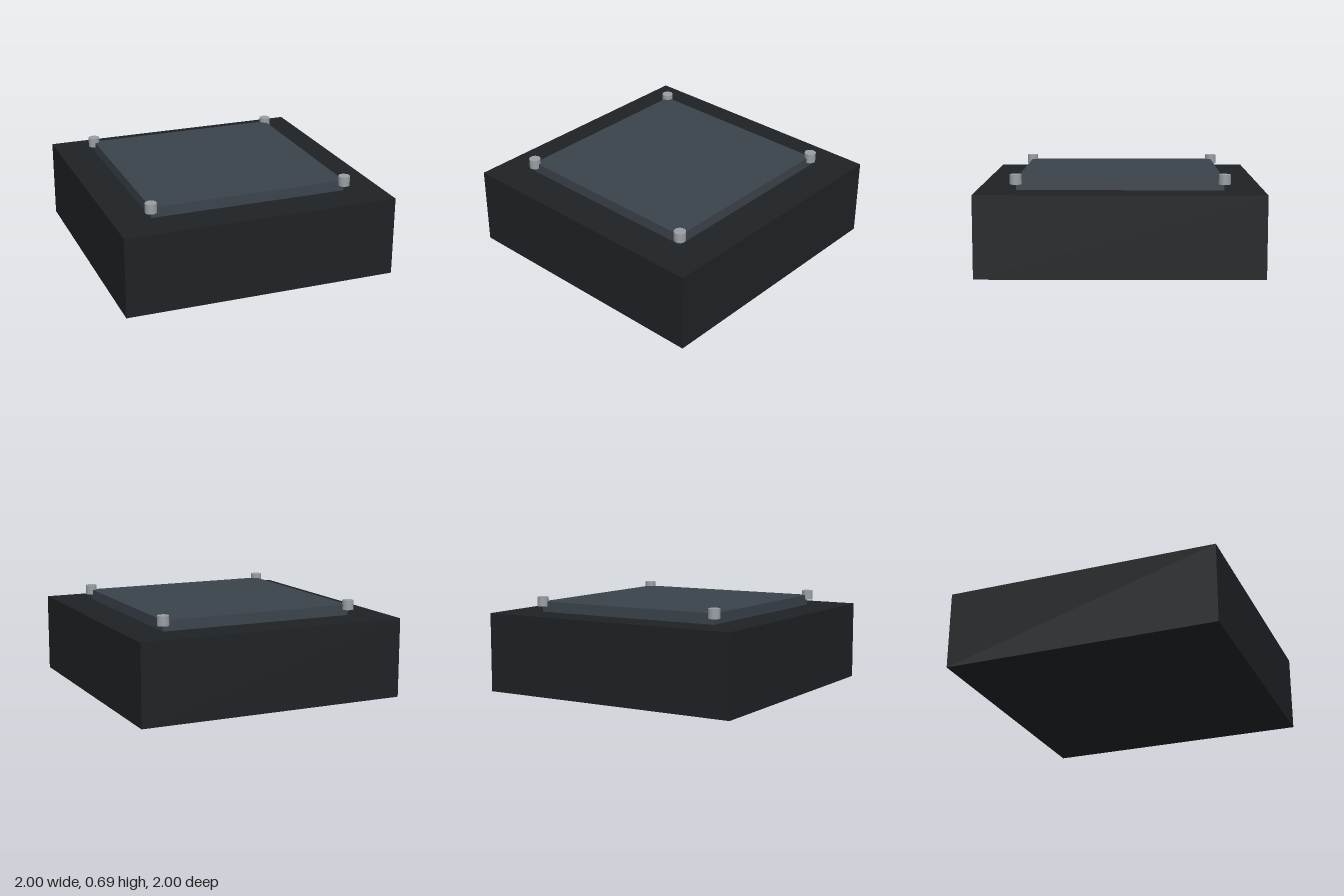
import * as THREE from 'three';

const material = (color) => new THREE.MeshStandardMaterial({ color });

export function createModel() {
  const model = new THREE.Group();
  const add = (name, geometry, mat, x, y, z) => {
    const mesh = new THREE.Mesh(geometry, mat);
    mesh.name = name;
    mesh.position.set(x, y, z);
    model.add(mesh);
  };

  const baseHeight = 0.58;
  const plateHeight = 0.077;
  const plateHalf = 0.727;

  // Solid square plinth
  add('base', new THREE.BoxGeometry(2, baseHeight, 2), material(0x1e2225), 0, baseHeight / 2, 0);

  // Raised plate on top
  add('topPlate', new THREE.BoxGeometry(plateHalf * 2, plateHeight, plateHalf * 2),
    material(0x3b434b), 0, baseHeight + plateHeight / 2, 0);

  // Bolts centred on the plate's corners, level with its top face
  const boltGeometry = new THREE.CylinderGeometry(0.042, 0.042, 0.07, 16);
  const boltMaterial = material(0x9a9fa4);
  for (const [xName, sx] of [['Left', 1], ['Right', -1]]) {
    for (const [zName, sz] of [['front', 1], ['back', -1]]) {
      add(`${zName}${xName}Bolt`, boltGeometry, boltMaterial,
        sx * plateHalf, baseHeight + plateHeight, sz * plateHalf);
    }
  }

  return model;
}
